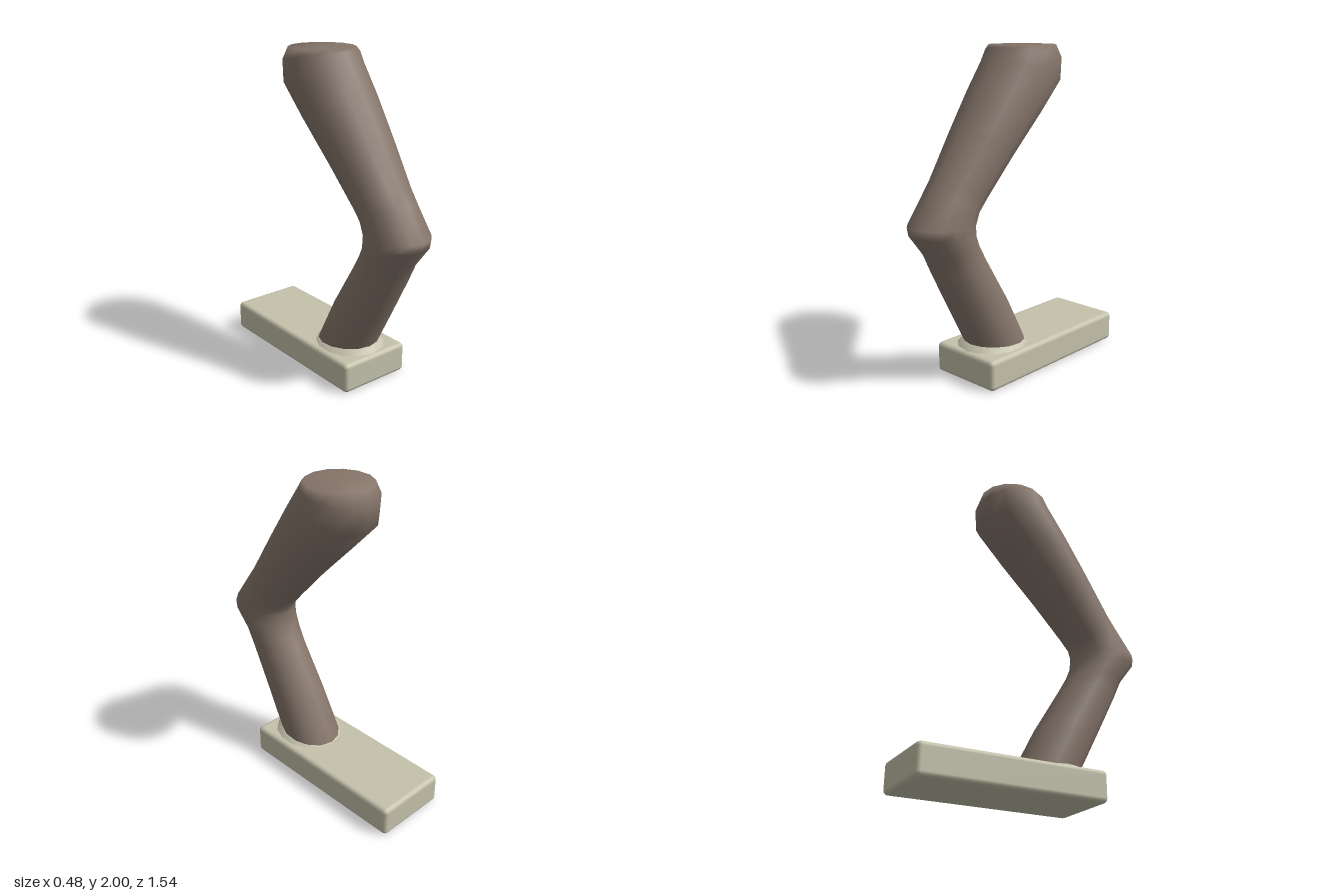
import * as THREE from 'three';
import { RoundedBoxGeometry } from 'three/addons/geometries/RoundedBoxGeometry.js';

const SIDES = 14;

// Skin tilted oval rings; each ring is [frontZ, frontY, backZ, backY, halfWidth]
function loft(rings, capFirst) {
  const pos = [], index = [];
  for (const [fz, fy, bz, by, w] of rings) {
    for (let i = 0; i < SIDES; i++) {
      const a = (i / SIDES) * Math.PI * 2;
      const t = (1 + Math.cos(a)) / 2; // 1 at the front, 0 at the back
      pos.push(Math.sin(a) * w, by + (fy - by) * t, bz + (fz - bz) * t);
    }
  }
  for (let r = 0; r < rings.length - 1; r++) {
    for (let i = 0; i < SIDES; i++) {
      const j = (i + 1) % SIDES;
      const a = r * SIDES + i, b = r * SIDES + j;
      index.push(a, a + SIDES, b, b, a + SIDES, b + SIDES);
    }
  }
  if (capFirst) {
    const [fz, fy, bz, by] = rings[0];
    const c = pos.length / 3;
    pos.push(0, (fy + by) / 2, (fz + bz) / 2);
    for (let i = 0; i < SIDES; i++) index.push(c, i, (i + 1) % SIDES);
  }
  const g = new THREE.BufferGeometry();
  g.setAttribute('position', new THREE.Float32BufferAttribute(pos, 3));
  g.setIndex(index);
  g.computeVertexNormals();
  return g;
}

export function createModel() {
  const group = new THREE.Group();
  group.name = 'leg';
  const skin = new THREE.MeshStandardMaterial({ color: 0x85756a });
  const sole = new THREE.MeshStandardMaterial({ color: 0xc4c2ab });
  const add = (name, geometry, material) => {
    const mesh = new THREE.Mesh(geometry, material);
    mesh.name = name;
    group.add(mesh);
    return mesh;
  };

  // Thigh, bent knee and shin as one smooth limb, from the flat top down
  add('limb', loft([
    [0.09, 2.0, -0.32, 2.0, 0.2],
    [0.1, 1.985, -0.35, 1.91, 0.232],
    [0.14, 1.93, -0.34, 1.76, 0.24],
    [0.25, 1.77, -0.16, 1.575, 0.232],
    [0.4, 1.55, 0.08, 1.33, 0.205],
    [0.58, 1.28, 0.27, 1.12, 0.176],
    [0.64, 1.2, 0.33, 1.05, 0.172],
    [0.77, 1.02, 0.345, 1.0, 0.18],
    [0.76, 0.97, 0.34, 0.92, 0.18],
    [0.66, 0.84, 0.31, 0.85, 0.166],
    [0.61, 0.73, 0.25, 0.75, 0.16],
    [0.48, 0.48, 0.07, 0.46, 0.168],
    [0.34, 0.22, -0.07, 0.19, 0.178],
    [0.3, 0.12, -0.1, 0.1, 0.178],
  ], true), skin);

  // Long block foot with softened edges
  const foot = add('foot', new RoundedBoxGeometry(0.48, 0.19, 1.17, 2, 0.028), sole);
  foot.position.set(0, 0.095, -0.185);

  // Low flare where the shin meets the foot
  add('ankleFlare', loft([
    [0.33, 0.228, -0.06, 0.195, 0.172],
    [0.36, 0.212, -0.075, 0.19, 0.195],
    [0.39, 0.175, -0.09, 0.175, 0.225],
  ], false), sole);

  return group;
}
